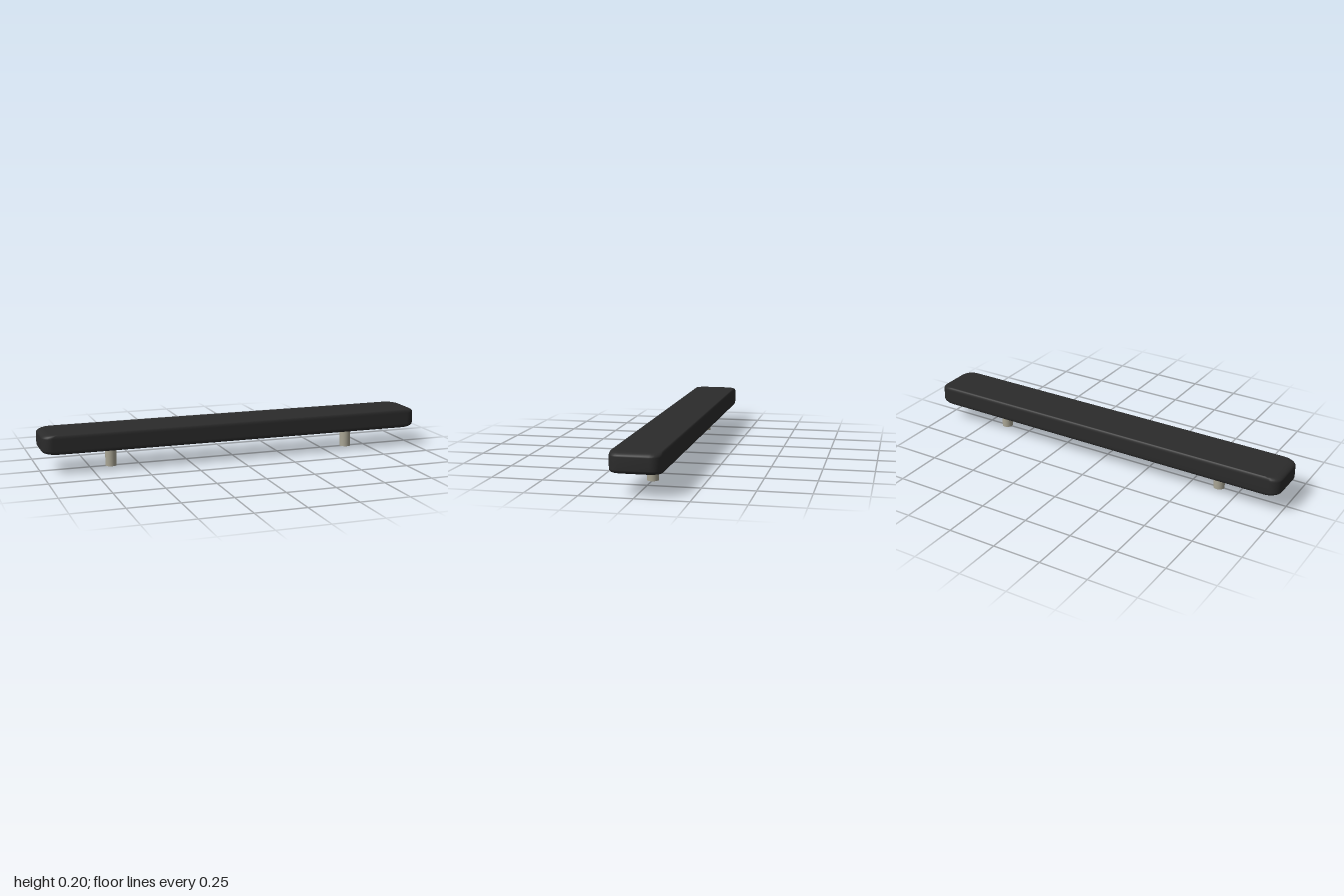
import * as THREE from 'three';

// Rounded-rectangle outline in the xz plane
function outline(hx, hz, r, y, steps = 6) {
  const points = [];
  const corners = [[1, 1], [-1, 1], [-1, -1], [1, -1]];
  corners.forEach(([sx, sz], q) => {
    for (let i = 0; i <= steps; i++) {
      const a = (q + i / steps) * Math.PI / 2;
      points.push([sx * (hx - r) + r * Math.cos(a), y, sz * (hz - r) + r * Math.sin(a)]);
    }
  });
  return points;
}

// Bar body: stacked outlines with softened upper and lower edges, and flat caps
function barGeometry() {
  const rings = [];
  const steps = 5, bevelX = 0.036, bevelY = 0.02, bevelZ = 0.009;
  for (const side of [-1, 1]) {
    for (let i = 0; i <= steps; i++) {
      const t = (side < 0 ? steps - i : i) / steps * Math.PI / 2;
      const inset = 1 - Math.cos(t);
      const y = 0.151 + side * (0.049 - bevelY + bevelY * Math.sin(t));
      rings.push(outline(1 - bevelX * inset, 0.12 - bevelZ * inset, 0.05, y));
    }
  }
  const n = rings[0].length;
  const positions = rings.flat(2);
  const index = [];
  for (let j = 0; j < rings.length - 1; j++) {
    for (let i = 0; i < n; i++) {
      const a = j * n + i, b = j * n + (i + 1) % n;
      index.push(a, a + n, b, b, a + n, b + n);
    }
  }
  // Caps have their own vertices so they stay flat
  for (const [ring, top] of [[rings[0], false], [rings[rings.length - 1], true]]) {
    const centre = positions.length / 3;
    positions.push(0, ring[0][1], 0, ...ring.flat());
    for (let i = 0; i < n; i++) {
      const a = centre + 1 + i, b = centre + 1 + (i + 1) % n;
      index.push(centre, ...(top ? [b, a] : [a, b]));
    }
  }
  const geometry = new THREE.BufferGeometry();
  geometry.setAttribute('position', new THREE.Float32BufferAttribute(positions, 3));
  geometry.setIndex(index);
  geometry.computeVertexNormals();
  return geometry;
}

export function createModel() {
  const group = new THREE.Group();
  group.name = 'barHandle';

  const black = new THREE.MeshStandardMaterial({ color: 0x2b2b2b });
  black.name = 'matte black';
  const metal = new THREE.MeshStandardMaterial({ color: 0xa9a594 });
  metal.name = 'warm grey metal';

  const bar = new THREE.Mesh(barGeometry(), black);
  bar.name = 'bar';
  group.add(bar);

  // Mounting posts
  const postGeometry = new THREE.CylinderGeometry(0.028, 0.028, 0.11, 24);
  for (const side of [-1, 1]) {
    const post = new THREE.Mesh(postGeometry, metal);
    post.name = side > 0 ? 'leftPost' : 'rightPost';
    post.position.set(side * 0.643, 0.055, 0);
    group.add(post);
  }
  return group;
}
